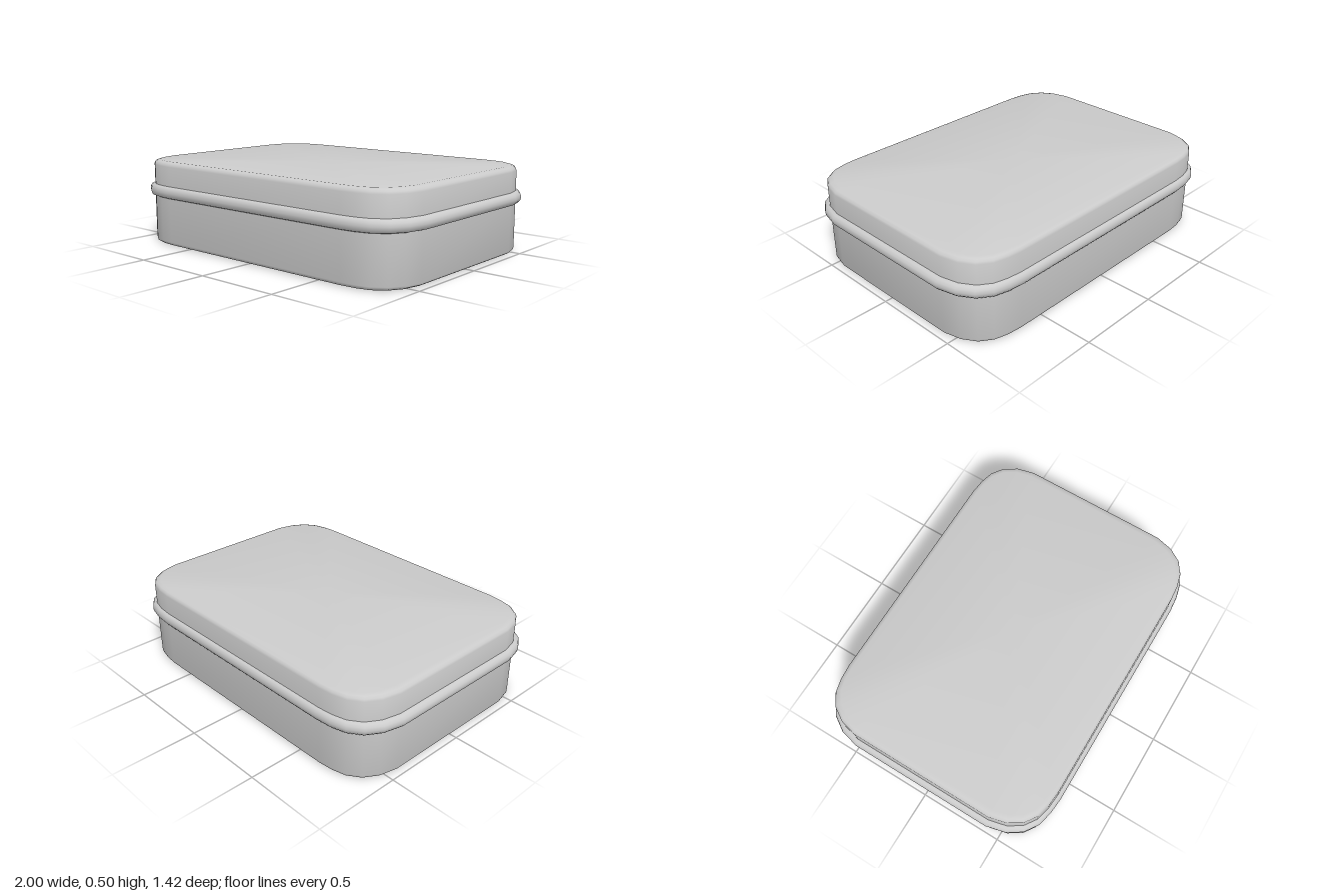
import * as THREE from 'three';
import { toCreasedNormals } from 'three/addons/utils/BufferGeometryUtils.js';

const HALF_X = 0.966, HALF_Z = 0.686;    // half size of the tin walls
const RADIUS_X = 0.31, RADIUS_Z = 0.255; // corner radii
const GROW_X = 1.15, GROW_Z = 0.83;      // offsets are wider along the long side

// Quarter corner on a unit square, from the short side to the long side
const CORNER = [[1, 0], [0.92, 0.4], [0.765, 0.7], [0.54, 0.89], [0.28, 0.97], [0, 1]];
const QUADRANTS = [[1, 1], [-1, 1], [-1, -1], [1, -1]];

// Rounded rectangle loop, grown outwards by `offset`, at height y
function loop(offset, y) {
  return QUADRANTS.flatMap(([sx, sz]) => {
    const corner = CORNER.map(([u, v]) => [
      sx * (HALF_X - RADIUS_X + u * (RADIUS_X + offset * GROW_X)), y,
      sz * (HALF_Z - RADIUS_Z + v * (RADIUS_Z + offset * GROW_Z)),
    ]);
    return sx * sz > 0 ? corner : corner.reverse();
  });
}

// Skin a profile of [offset, y] pairs, listed from the bottom up along the outside
function skin(name, profile, material, { bottom = false, top = false } = {}) {
  const n = QUADRANTS.length * CORNER.length;
  const vertices = profile.flatMap(([offset, y]) => loop(offset, y));
  const index = [];
  for (let i = 0; i < profile.length - 1; i++) {
    for (let j = 0; j < n; j++) {
      const k = (j + 1) % n;
      const a = i * n + j, b = i * n + k, c = a + n, d = b + n;
      index.push(a, c, b, b, c, d);
    }
  }
  const cap = (ring, up) => {
    const centre = vertices.push([0, profile[ring][1], 0]) - 1;
    for (let j = 0; j < n; j++) {
      const a = ring * n + j, b = ring * n + (j + 1) % n;
      index.push(centre, up ? b : a, up ? a : b);
    }
  };
  if (bottom) cap(0, false);
  if (top) cap(profile.length - 1, true);

  const geometry = new THREE.BufferGeometry();
  geometry.setAttribute('position', new THREE.Float32BufferAttribute(vertices.flat(), 3));
  geometry.setIndex(index);
  const mesh = new THREE.Mesh(toCreasedNormals(geometry, 0.65), material);
  mesh.name = name;
  return mesh;
}

export function createModel() {
  const group = new THREE.Group();
  group.name = 'tin';
  const material = new THREE.MeshStandardMaterial({ color: 0xcccccc, side: THREE.DoubleSide });

  // Base standing on a thin lip around a shallow recessed floor
  group.add(skin('base', [
    [-0.045, 0.022], [-0.04, 0.003], [-0.03, 0], [-0.014, 0.003], [-0.004, 0.01], [0, 0.022], [0, 0.32],
  ], material, { bottom: true }));

  // Lid with a rounded shoulder and a flat top
  group.add(skin('lid', [
    [0, 0.32], [0, 0.472], [-0.004, 0.484], [-0.015, 0.494], [-0.037, 0.5],
  ], material, { top: true }));

  // Rolled rim around the seam
  group.add(skin('rolledRim', [
    [0, 0.284], [0.015, 0.289], [0.025, 0.301], [0.029, 0.32],
    [0.025, 0.338], [0.015, 0.35], [0, 0.356],
  ], material));

  return group;
}
